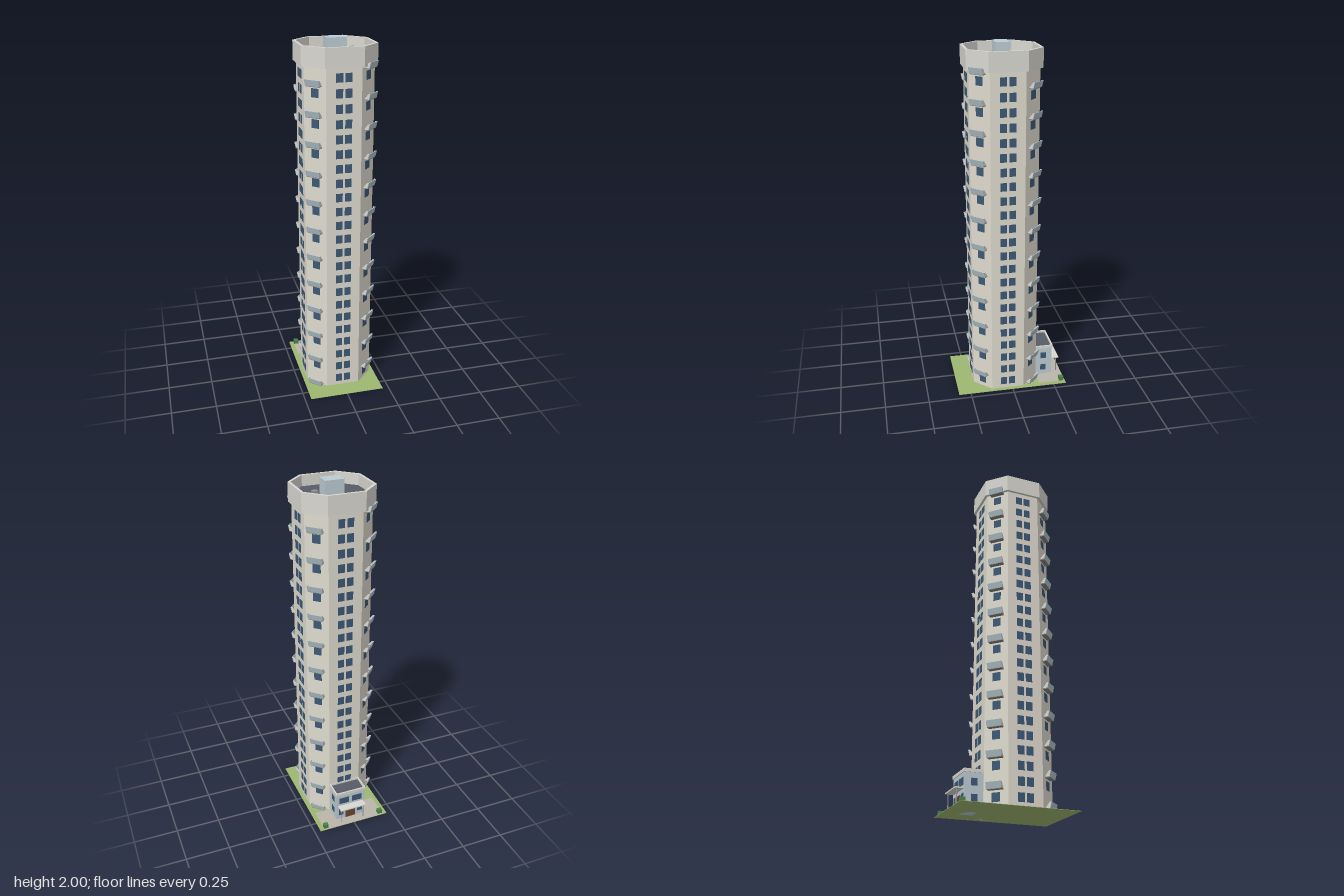
import * as THREE from 'three';
import { mergeGeometries } from 'three/addons/utils/BufferGeometryUtils.js';

const CZ = 0.025;          // tower centre in z
const FLOOR = 0.0805;      // storey height
const WALL = 0.19, DIAG = 0.2015; // distance of straight and diagonal walls from the axis

const mat = (color, extra = {}) =>
  new THREE.MeshStandardMaterial({ color, flatShading: true, ...extra });
const M = {
  wall: mat(0xdedace), trim: mat(0xd8d7d0), roof: mat(0x565c66), window: mat(0x3c5874),
  lawn: mat(0x9eb870), paving: mat(0xbbb5ab), annex: mat(0xbccbd2), glass: mat(0xb0c2ca, { side: THREE.DoubleSide }),
  slab: mat(0x8a867f), vent: mat(0x8f9294), bush: mat(0x4b8446), door: mat(0x6b4630),
};

// Octagon with half size h and straight sides of half length c
function octagon(h, c, Type = THREE.Shape) {
  const pts = [[h, -c], [h, c], [c, h], [-c, h], [-h, c], [-h, -c], [-c, -h], [c, -h]];
  return new Type(pts.map(([x, y]) => new THREE.Vector2(x, y)));
}

// Upright extrusion of a plan shape between two heights
function upright(shape, y0, y1) {
  const g = new THREE.ExtrudeGeometry(shape, { depth: y1 - y0, bevelEnabled: false });
  return g.rotateX(-Math.PI / 2).translate(0, y0, 0);
}

const box = (w, h, d, x, y, z) => new THREE.BoxGeometry(w, h, d).translate(x, y, z);

// Turn a part made facing +z round the tower axis
const around = (g, angle) => g.rotateY(angle).translate(0, 0, CZ);

// Plan frame: rectangle with a rectangular hole
function frame(w, d, t) {
  const rect = (a, b, T) => new T([[a, -b], [a, b], [-a, b], [-a, -b]].map(p => new THREE.Vector2(...p)));
  const s = rect(w / 2, d / 2, THREE.Shape);
  s.holes.push(rect(w / 2 - t, d / 2 - t, THREE.Path));
  return s;
}

export function createModel() {
  const root = new THREE.Group();
  root.name = 'towerBlock';
  const add = (name, geo, material, parent = root) => {
    const m = new THREE.Mesh(Array.isArray(geo) ? mergeGeometries(geo) : geo, material);
    m.name = name;
    parent.add(m);
    return m;
  };

  // Site
  add('lawn', box(0.43, 0.002, 0.645, 0, 0.001, -0.0025), M.lawn);
  add('paving', box(0.378, 0.002, 0.16, 0, 0.002, -0.244), M.paving);
  add('bushes', [-1, 1].map(s => box(0.027, 0.025, 0.025, s * 0.175, 0.0145, -0.303)), M.bush);

  // Tower shaft, roof deck and parapet ring
  add('towerWalls', upright(octagon(WALL, 0.095), 0, 1.91).translate(0, 0, CZ), M.wall);
  add('roofDeck', upright(octagon(0.1905, 0.0955), 1.91, 1.915).translate(0, 0, CZ), M.roof);
  const ring = octagon(0.205, 0.103);
  ring.holes.push(octagon(0.1905, 0.0955, THREE.Path));
  add('parapet', upright(ring, 1.87, 1.975).translate(0, 0, CZ), M.trim);
  add('liftHouse', box(0.106, 0.085, 0.08, 0, 1.9575, CZ), M.annex);
  add('roofVent', box(0.03, 0.03, 0.03, 0.095, 1.93, CZ), M.vent);

  // Windows in pairs on straight walls, single on diagonals between balconies
  const windows = [], slabs = [], panels = [], cheeks = [];
  for (let side = 0; side < 4; side++) {
    const straight = side * Math.PI / 2, diagonal = straight + Math.PI / 4;
    for (let f = 0; f < 24; f++) {
      const y = 0.049 + f * FLOOR;
      if (f < 23 && !(side === 2 && f < 2)) {
        for (const s of [-1, 1])
          windows.push(around(box(0.037, 0.047, 0.003, s * 0.0245, y, WALL), straight));
      }
      if (f % 2 === side % 2) {
        if (f < 23) windows.push(around(box(0.045, 0.047, 0.003, 0, y, DIAG), diagonal));
        continue;
      }
      // Balcony: floor slab, outward leaning front panel, wedge-shaped cheeks
      const base = 0.004 + f * FLOOR;
      slabs.push(around(box(0.08, 0.007, 0.028, 0, base + 0.0035, DIAG + 0.013), diagonal));
      const panel = new THREE.BoxGeometry(0.086, 0.034, 0.003).rotateX(0.25);
      panels.push(around(panel.translate(0, base + 0.02, DIAG + 0.03), diagonal));
      const wedge = new THREE.Shape([[0, 0], [0.026, 0], [0.033, 0.031], [0.024, 0.031]]
        .map(p => new THREE.Vector2(...p)));
      for (const s of [-1, 1]) {
        const g = new THREE.ExtrudeGeometry(wedge, { depth: 0.002, bevelEnabled: false });
        g.rotateY(-Math.PI / 2).translate(s * 0.041 + 0.001, base + 0.005, DIAG);
        cheeks.push(around(g, diagonal));
      }
    }
  }
  add('windows', windows, M.window);
  add('balconySlabs', slabs, M.slab);
  add('balconyPanels', panels, M.glass);
  add('balconyCheeks', cheeks, M.trim);

  // Entrance building at the back
  const entrance = new THREE.Group();
  entrance.name = 'entranceBuilding';
  root.add(entrance);
  add('entranceWalls', box(0.18, 0.18, 0.105, 0, 0.09, -0.2125), M.annex, entrance);
  add('entranceRoof', box(0.174, 0.004, 0.1, 0, 0.182, -0.2125), M.roof, entrance);
  add('entranceParapet', upright(frame(0.188, 0.109, 0.008), 0.178, 0.196).translate(0, 0, -0.2155), M.trim, entrance);
  const openings = [];
  for (const s of [-1, 1]) {
    for (const y of [0.049, 0.13]) openings.push(box(0.003, 0.038, 0.034, s * 0.09, y, -0.213));
    openings.push(box(0.062, 0.04, 0.003, s * 0.04, 0.135, -0.265));
    openings.push(box(0.03, 0.045, 0.003, s * 0.06, 0.052, -0.265));
  }
  add('entranceWindows', openings, M.window, entrance);
  add('entranceDoors', [-1, 1].map(s => box(0.03, 0.07, 0.004, s * 0.0155, 0.037, -0.265)), M.door, entrance);

  // Porch canopy on two posts
  add('canopy', box(0.16, 0.007, 0.048, 0, 0.098, -0.288), M.trim, entrance);
  add('canopyPosts', [-1, 1].map(s =>
    new THREE.CylinderGeometry(0.003, 0.003, 0.095, 8).translate(s * 0.07, 0.0475, -0.298)), M.vent, entrance);

  return root;
}
